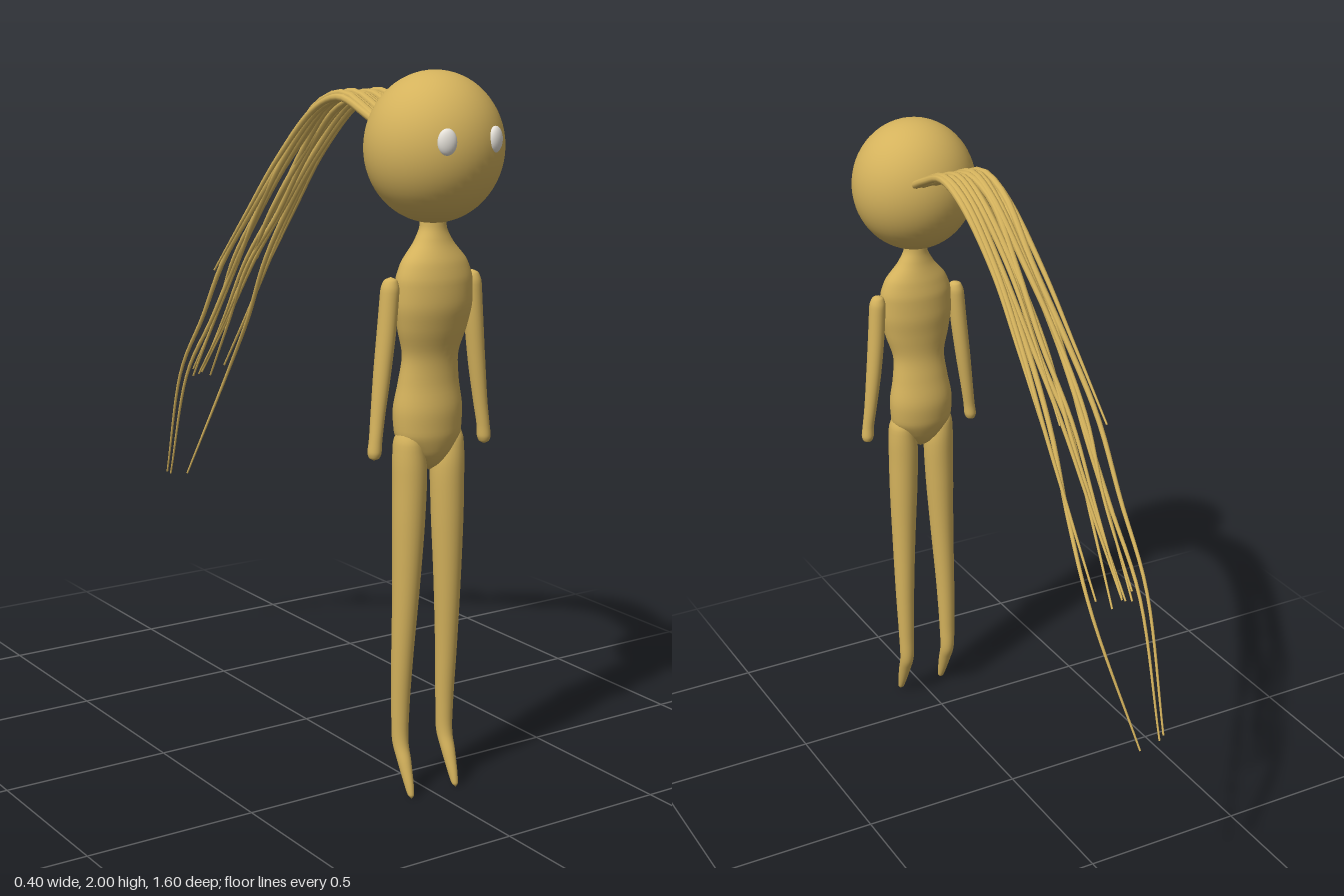
import * as THREE from 'three';

const gold = new THREE.MeshStandardMaterial({ color: 0xd4b25c });
gold.name = 'gold';
const white = new THREE.MeshStandardMaterial({ color: 0xe6e2da });
white.name = 'eye white';

const BODY_Z = 0.62;

// Smooth closed loft through elliptical sections [x, y, z, radiusX, radiusZ], top to bottom
function loft(sections, rows = 48, sides = 24) {
  const centres = new THREE.CatmullRomCurve3(sections.map(s => new THREE.Vector3(s[0], s[1], s[2])));
  const radii = new THREE.CatmullRomCurve3(sections.map(s => new THREE.Vector3(s[3], 0, s[4])));
  const pos = [], index = [];
  for (let i = 0; i <= rows; i++) {
    const c = centres.getPoint(i / rows), r = radii.getPoint(i / rows);
    for (let j = 0; j < sides; j++) {
      const a = (j / sides) * Math.PI * 2;
      pos.push(c.x + Math.max(r.x, 0.001) * Math.sin(a), c.y, c.z + Math.max(r.z, 0.001) * Math.cos(a));
      if (i === rows) continue;
      const k = (j + 1) % sides, p = i * sides, q = p + sides;
      index.push(p + j, q + j, p + k, p + k, q + j, q + k);
    }
  }
  const g = new THREE.BufferGeometry();
  g.setAttribute('position', new THREE.Float32BufferAttribute(pos, 3));
  g.setIndex(index);
  g.computeVertexNormals();
  return g;
}

// Tube that thins from root to tip
function taperedTube(points, r0, r1) {
  const curve = new THREE.CatmullRomCurve3(points);
  const seg = 40, sides = 8;
  const g = new THREE.TubeGeometry(curve, seg, r0, sides, false);
  const p = g.attributes.position, v = new THREE.Vector3();
  for (let i = 0; i <= seg; i++) {
    const c = curve.getPointAt(i / seg);
    const k = THREE.MathUtils.lerp(1, r1 / r0, i / seg);
    for (let j = 0; j <= sides; j++) {
      const n = i * (sides + 1) + j;
      v.fromBufferAttribute(p, n).sub(c).multiplyScalar(k).add(c);
      p.setXYZ(n, v.x, v.y, v.z);
    }
  }
  return g;
}

export function createModel() {
  const model = new THREE.Group();
  model.name = 'doll';
  const add = (name, geometry, material = gold) => {
    const m = new THREE.Mesh(geometry, material);
    m.name = name;
    model.add(m);
    return m;
  };

  // Head
  const head = add('head', new THREE.SphereGeometry(1, 48, 32));
  head.scale.set(0.19, 0.2, 0.18);
  head.position.set(0, 1.8, BODY_Z);

  // Neck, chest, waist and hips
  add('torso', loft([
    [0, 1.64, 0.62, 0.034, 0.034],
    [0, 1.59, 0.62, 0.037, 0.035],
    [0, 1.55, 0.622, 0.058, 0.043],
    [0, 1.50, 0.626, 0.1, 0.06],
    [0, 1.45, 0.627, 0.117, 0.07],
    [0, 1.39, 0.627, 0.118, 0.072],
    [0, 1.32, 0.623, 0.106, 0.064],
    [0, 1.24, 0.614, 0.085, 0.054],
    [0, 1.17, 0.608, 0.092, 0.061],
    [0, 1.09, 0.606, 0.104, 0.073],
    [0, 1.03, 0.608, 0.1, 0.07],
    [0, 0.98, 0.612, 0.066, 0.054],
    [0, 0.945, 0.615, 0.03, 0.03],
    [0, 0.925, 0.617, 0.001, 0.001],
  ], 72, 32));

  for (const [side, s] of [['left', 1], ['right', -1]]) {
    // Legs ending in pointed feet
    add(side + 'Leg', loft([
      [0.07 * s, 1.055, 0.612, 0.001, 0.001],
      [0.07 * s, 1.045, 0.612, 0.023, 0.024],
      [0.068 * s, 1.01, 0.612, 0.039, 0.044],
      [0.063 * s, 0.93, 0.614, 0.047, 0.049],
      [0.065 * s, 0.80, 0.615, 0.045, 0.047],
      [0.07 * s, 0.60, 0.613, 0.037, 0.04],
      [0.075 * s, 0.40, 0.606, 0.03, 0.032],
      [0.076 * s, 0.24, 0.601, 0.025, 0.026],
      [0.076 * s, 0.15, 0.603, 0.022, 0.025],
      [0.076 * s, 0.10, 0.622, 0.019, 0.022],
      [0.076 * s, 0.04, 0.645, 0.013, 0.016],
      [0.076 * s, 0.01, 0.656, 0.009, 0.01],
      [0.076 * s, 0, 0.66, 0.001, 0.001],
    ], 64));

    // Arms with rounded ends
    add(side + 'Arm', loft([
      [0.133 * s, 1.465, 0.617, 0.001, 0.001],
      [0.134 * s, 1.457, 0.617, 0.017, 0.018],
      [0.136 * s, 1.43, 0.617, 0.025, 0.027],
      [0.144 * s, 1.33, 0.616, 0.025, 0.028],
      [0.157 * s, 1.21, 0.615, 0.023, 0.026],
      [0.172 * s, 1.09, 0.617, 0.019, 0.021],
      [0.18 * s, 1.03, 0.62, 0.018, 0.019],
      [0.183 * s, 1.0, 0.62, 0.019, 0.02],
      [0.184 * s, 0.983, 0.62, 0.014, 0.015],
      [0.184 * s, 0.976, 0.62, 0.001, 0.001],
    ]));

    // Eyes
    const eye = add(side + 'Eye', new THREE.SphereGeometry(1, 24, 16), white);
    eye.scale.set(0.026, 0.035, 0.016);
    eye.position.set(0.077 * s, 1.827, 0.78);
    eye.rotation.y = 0.35 * s;
  }

  // Swept hair: the shared arc as [y, z]; each strand lists its x at successive arc points
  const arc = [[1.835, 0.5], [1.88, 0.4], [1.918, 0.28], [1.88, 0.15], [1.73, -0.02],
    [1.56, -0.17], [1.375, -0.33], [1.18, -0.47], [0.98, -0.63], [0.61, -0.795]];
  const strands = [
    [-0.07, -0.07, -0.07, -0.07, -0.085, -0.1, -0.115],
    [-0.062, -0.062, -0.06, -0.06, -0.055, -0.075, -0.09, -0.085, -0.075, -0.04],
    [-0.05, -0.05, -0.045, -0.035, -0.04, -0.05, -0.045, -0.05, -0.05, -0.025],
    [-0.04, -0.04, -0.04, -0.05, -0.06, -0.06, -0.04, -0.04, -0.025],
    [-0.025, -0.025, -0.025, -0.02, -0.03, -0.05, -0.055, -0.035, -0.03],
    [-0.012, -0.012, -0.01, -0.015, -0.005, 0.0, -0.01, -0.005, 0.005],
    [0, 0, 0.005, 0.01, 0, -0.01, 0.005, 0, -0.005],
    [0.012, 0.012, 0.01, 0.005, 0.01, 0.015, 0.0, 0.015, 0.04],
    [0.025, 0.025, 0.025, 0.03, 0.02, 0.02, 0.03],
    [0.04, 0.04, 0.04, 0.045, 0.04, 0.03, 0.02, 0.01, 0.005],
    [0.05, 0.05, 0.055, 0.06, 0.05, 0.045, 0.06, 0.085, 0.105, 0.04],
    [0.06, 0.06, 0.065, 0.065, 0.06, 0.065, 0.08, 0.08, 0.085],
    [0.07, 0.07, 0.075, 0.078, 0.07, 0.075, 0.082],
  ];
  const hair = new THREE.Group();
  hair.name = 'hair';
  strands.forEach((xs, n) => {
    const points = xs.map((x, i) => {
      // Small offsets keep neighbouring strands from lying in one sheet
      const lift = ((n * 5) % 7 - 3) * 0.005 * Math.min(1, i / 5);
      return new THREE.Vector3(x, arc[i][0] + lift, arc[i][1] + lift * 0.4);
    });
    const strand = new THREE.Mesh(taperedTube(points, 0.013, 0.003), gold);
    strand.name = 'hairStrand' + (n + 1);
    hair.add(strand);
  });
  model.add(hair);

  return model;
}
